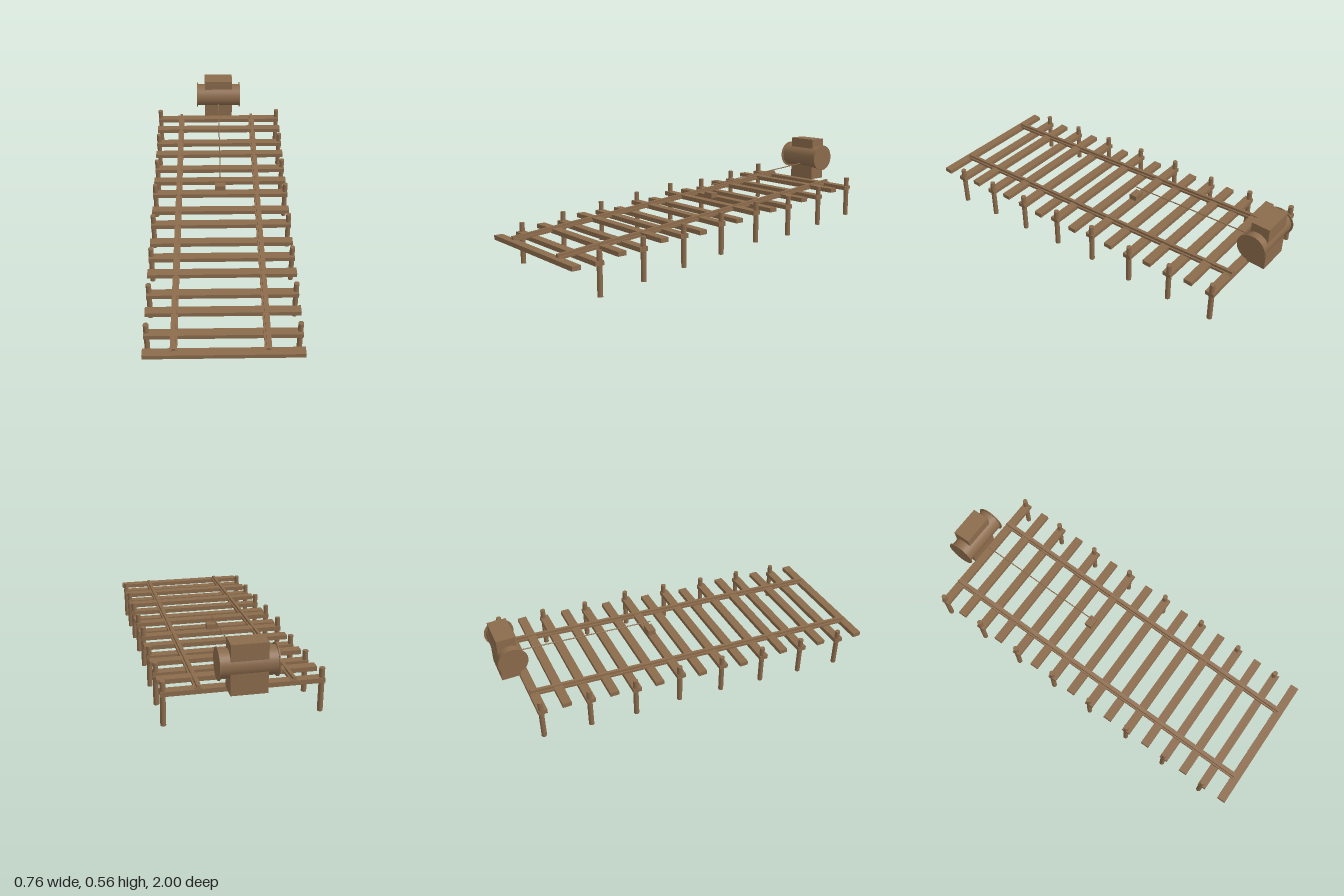
import * as THREE from 'three';

export function createModel() {
  const model = new THREE.Group();
  model.name = 'inclinedTrackWithWinch';
  const wood = new THREE.MeshStandardMaterial({ color: 0x8b6b4c });
  wood.name = 'brown wood';

  function add(name, geometry, x, y, z, parent = model) {
    const mesh = new THREE.Mesh(geometry, wood);
    mesh.name = name;
    mesh.position.set(x, y, z);
    parent.add(mesh);
    return mesh;
  }

  // Sleepers climb in small steps; every second one has a post at each end
  const sleeperGeo = new THREE.BoxGeometry(0.76, 0.023, 0.046);
  const postGeo = new THREE.CylinderGeometry(0.0135, 0.0135, 0.22, 16);
  for (let i = 0; i < 16; i++) {
    const z = 0.977 - i * 0.123;
    const rise = Math.round(i * 0.4) * 0.0245;
    add('sleeper', sleeperGeo, 0, 0.161 + rise, z);
    if (i % 2 === 1) {
      for (const side of [-1, 1]) add('post', postGeo, side * 0.367, 0.11 + rise, z - 0.006);
    }
  }

  // Sloping rails: wide foot with a narrow head
  const start = new THREE.Vector3(0, 0.176, 0.973);
  const end = new THREE.Vector3(0, 0.323, -0.887);
  const length = start.distanceTo(end);
  const slope = Math.atan2(end.y - start.y, start.z - end.z);
  for (const x of [-0.234, 0.207]) {
    const rail = new THREE.Group();
    rail.name = 'rail';
    rail.position.set(x, (start.y + end.y) / 2, (start.z + end.z) / 2);
    rail.rotation.x = slope;
    add('railFoot', new THREE.BoxGeometry(0.034, 0.012, length), 0, -0.006, 0, rail);
    add('railHead', new THREE.BoxGeometry(0.016, 0.014, length), 0, 0.006, 0, rail);
    model.add(rail);
  }

  // Winch: housing, drum and end flanges
  const winch = new THREE.Group();
  winch.name = 'winch';
  winch.position.set(0, 0.4535, -0.924);
  model.add(winch);
  add('winchHousing', new THREE.BoxGeometry(0.17, 0.243, 0.096), 0, -0.012, -0.011, winch);
  const drum = add('winchDrum', new THREE.CylinderGeometry(0.066, 0.066, 0.264, 32), 0, 0, 0, winch);
  drum.rotation.z = Math.PI / 2;
  for (const side of [-1, 1]) {
    const flange = add('drumFlange', new THREE.CylinderGeometry(0.076, 0.076, 0.005, 32), side * 0.132, 0, 0, winch);
    flange.rotation.z = Math.PI / 2;
  }

  // Rope paid out down the track, and the block below its end
  const rope = new THREE.LineCurve3(new THREE.Vector3(0, 0.357, -0.138), new THREE.Vector3(0, 0.41, -0.875));
  add('rope', new THREE.TubeGeometry(rope, 1, 0.003, 8), 0, 0, 0);
  add('ropeBlock', new THREE.BoxGeometry(0.06, 0.028, 0.042), 0, 0.301, -0.14);

  return model;
}
